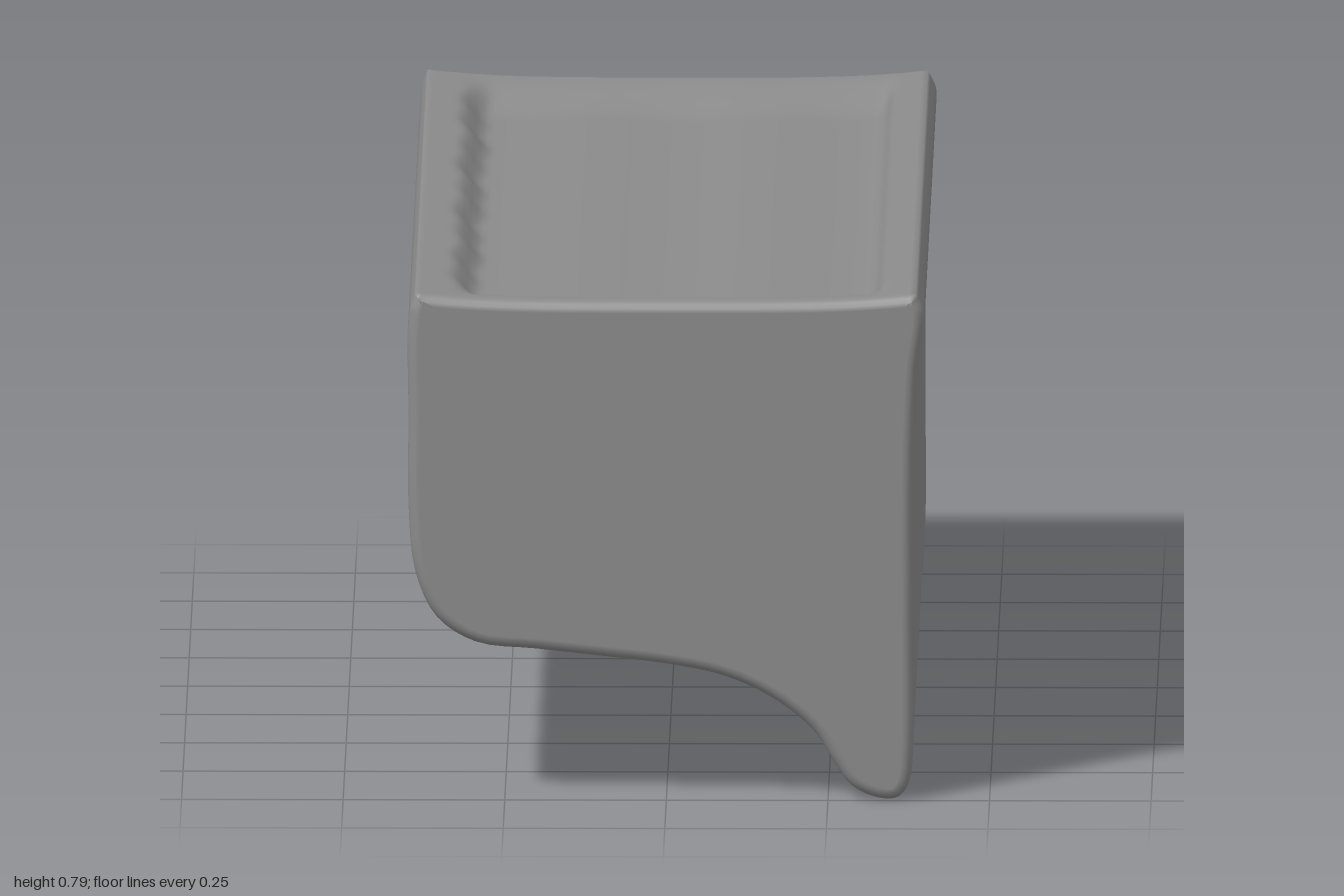
import * as THREE from 'three';

const smooth = (a, b, v) => THREE.MathUtils.smoothstep(v, a, b);
const bump = (z, centre, width) => Math.exp(-(((z - centre) / width) ** 2));

// Side and underside outline, from the left rim down, under and up to the right rim
const outline = new THREE.CatmullRomCurve3([
  [-0.388, 0.795], [-0.398, 0.765], [-0.399, 0.6], [-0.399, 0.46], [-0.388, 0.355],
  [-0.355, 0.285], [-0.295, 0.246], [-0.2, 0.235], [-0.1, 0.224], [0, 0.212], [0.08, 0.196],
  [0.14, 0.172], [0.19, 0.141], [0.23, 0.105], [0.26, 0.058], [0.285, 0.023],
  [0.32, 0.004], [0.356, 0.002], [0.375, 0.025], [0.382, 0.09], [0.382, 0.3],
  [0.383, 0.55], [0.389, 0.68], [0.399, 0.765], [0.386, 0.795],
].map(([x, y]) => new THREE.Vector3(x, y, 0)), false, 'centripetal');
const outlinePoints = outline.getPoints(96);

// Height of the shallow tray set into the top: steep long walls, soft sloping ends
function topHeight(x, z) {
  const ripple = 0.006 * Math.sin(z * 23) * Math.sin(z * 9);
  const inX = smooth(-0.335 + ripple, -0.29 + ripple, x) * (1 - smooth(0.315, 0.34, x));
  const inZ = smooth(-0.97, -0.78, z) * (1 - smooth(0.82, 0.97, z));
  const sag = 0.012 * (1 - Math.min(1, Math.abs(x / 0.386)) ** 4);
  const floorWave = 0.003 * Math.cos(x * 22);
  return 0.795 - sag - inX * inZ * (0.03 + floorWave);
}

// One closed cross-section at depth z; inset rounds the end edges
function section(z, inset) {
  const points = outlinePoints.map((p) => {
    const lip = 1 - smooth(0.0, 0.15, p.y);
    // The hanging lip is shorter in the rear half and thicker on its inner side
    const lift = 0.014 * (1 - smooth(0.55, 0.85, Math.abs(z))) + 0.034 * bump(z, -0.37, 0.19);
    const thicken = 0.022 * bump(p.x, 0.19, 0.04) * bump(z, -0.3, 0.3);
    return [p.x, p.y + lift * lip - thicken];
  });
  const steps = 80;
  for (let i = 1; i < steps; i++) {
    const x = 0.386 - (0.774 * i) / steps;
    points.push([x, topHeight(x, z)]);
  }
  // Move each point inward along its own edge normal
  const n = points.length;
  return points.map(([x, y], i) => {
    const a = points[(i + n - 1) % n], b = points[(i + 1) % n];
    const dx = b[0] - a[0], dy = b[1] - a[1], l = Math.hypot(dx, dy) || 1;
    return [x - (dy / l) * inset, y + (dx / l) * inset, z];
  });
}

function bodyGeometry() {
  // Rings run from back to front, with quarter-round ends
  const rings = [];
  const r = 0.018;
  for (let i = 0; i <= 4; i++) {
    const a = (i / 4) * Math.PI / 2;
    rings.push([-1 + r * (1 - Math.cos(a)), r * (1 - Math.sin(a))]);
  }
  for (let i = 1; i < 100; i++) rings.push([(-1 + r) + (2 - 2 * r) * (i / 100), 0]);
  for (let i = 4; i >= 0; i--) rings.push([-rings[i][0], rings[i][1]]);

  const sections = rings.map(([z, inset]) => section(z, inset));
  const n = sections[0].length;
  const positions = sections.flat(2);
  const index = [];
  for (let j = 0; j < sections.length - 1; j++) {
    for (let i = 0; i < n; i++) {
      const a = j * n + i, b = j * n + ((i + 1) % n);
      index.push(a, b, b + n, a, b + n, a + n);
    }
  }
  // Flat end faces
  const back = positions.length / 3, front = back + 1, last = (sections.length - 1) * n;
  positions.push(0.2, 0.5, -1, 0.2, 0.5, 1);
  for (let i = 0; i < n; i++) {
    const k = (i + 1) % n;
    index.push(back, k, i, front, last + i, last + k);
  }
  const geometry = new THREE.BufferGeometry();
  geometry.setAttribute('position', new THREE.Float32BufferAttribute(positions, 3));
  geometry.setIndex(index);
  geometry.computeVertexNormals();
  return geometry;
}

export function createModel() {
  const group = new THREE.Group();
  group.name = 'trayBlock';
  const body = new THREE.Mesh(bodyGeometry(), new THREE.MeshStandardMaterial({ color: 0x8b8b8b }));
  body.name = 'blockWithTrayTopAndHangingLip';
  group.add(body);
  return group;
}
